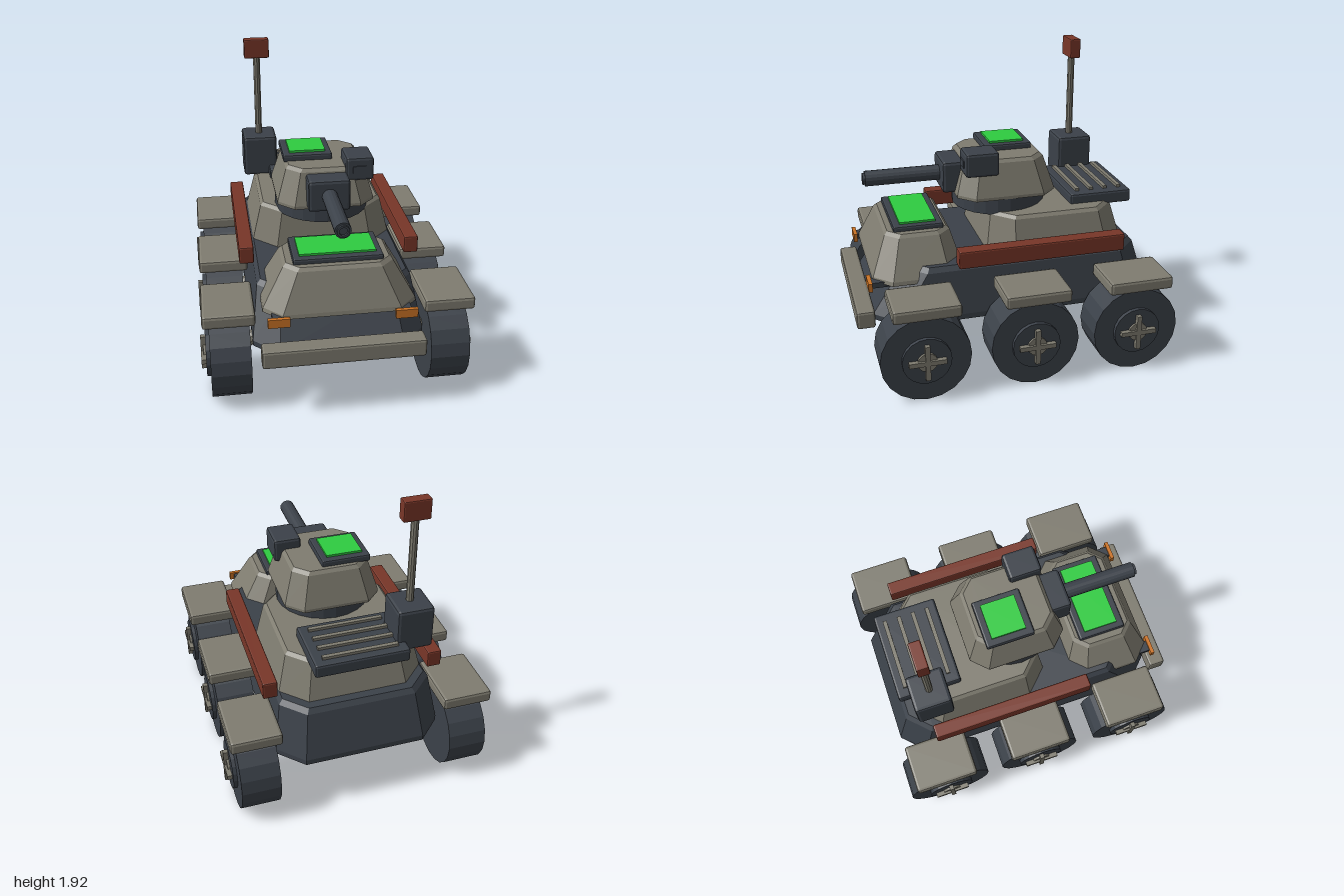
import * as THREE from 'three';
import { RoundedBoxGeometry } from 'three/addons/geometries/RoundedBoxGeometry.js';

const material = (name, color) => {
  const m = new THREE.MeshStandardMaterial({ color });
  m.name = name;
  return m;
};

// Faceted normals for a low-poly look
function flat(geometry) {
  const g = geometry.index ? geometry.toNonIndexed() : geometry;
  g.computeVertexNormals();
  return g;
}

// Corner-cut rectangle; each ring is [y, halfWidth, zBack, zFront, cut]
function ringPoints([y, w, z0, z1, c]) {
  return [[w, z0 + c], [w, z1 - c], [w - c, z1], [c - w, z1],
    [-w, z1 - c], [-w, z0 + c], [c - w, z0], [w - c, z0]].map(([x, z]) => [x, y, z]);
}

// Stack of corner-cut rings with closed ends
function armour(rings) {
  const pos = [];
  const tri = (...points) => points.forEach((p) => pos.push(...p));
  const loops = rings.map(ringPoints);
  const last = loops.length - 1;
  for (let k = 0; k < last; k++) {
    for (let i = 0; i < 8; i++) {
      const j = (i + 1) % 8, a = loops[k], b = loops[k + 1];
      tri(a[i], b[i], a[j]);
      tri(a[j], b[i], b[j]);
    }
  }
  for (let i = 1; i < 7; i++) {
    tri(loops[last][0], loops[last][i + 1], loops[last][i]);
    tri(loops[0][0], loops[0][i], loops[0][i + 1]);
  }
  const g = new THREE.BufferGeometry();
  g.setAttribute('position', new THREE.Float32BufferAttribute(pos, 3));
  g.computeVertexNormals();
  return g;
}

export function createModel() {
  const model = new THREE.Group();
  model.name = 'armouredVehicle';
  const tan = material('grey tan', 0x7f7c70);
  const dark = material('slate', 0x3b4149);
  const rust = material('rust red', 0x783628);
  const green = material('bright green', 0x2ecc40);
  const orange = material('orange', 0xcc7426);

  const add = (name, geometry, mat, x = 0, y = 0, z = 0, parent = model) => {
    const mesh = new THREE.Mesh(geometry, mat);
    mesh.name = name;
    mesh.position.set(x, y, z);
    parent.add(mesh);
    return mesh;
  };
  // Box from its extents, with an optional chamfer
  const box = (name, mat, [x0, x1], [y0, y1], [z0, z1], bevel = 0, parent = model) => {
    const size = [x1 - x0, y1 - y0, z1 - z0];
    const g = bevel ? new RoundedBoxGeometry(...size, 1, bevel) : new THREE.BoxGeometry(...size);
    return add(name, flat(g), mat, (x0 + x1) / 2, (y0 + y1) / 2, (z0 + z1) / 2, parent);
  };
  const cylinder = (r, length, sides) => flat(new THREE.CylinderGeometry(r, r, length, sides));

  // Hull and superstructure
  add('hull', armour([
    [0.365, 0.53, -0.95, 0.885, 0.15],
    [0.40, 0.53, -0.95, 0.885, 0.15],
    [0.685, 0.485, -0.865, 0.69, 0.14],
    [0.715, 0.46, -0.84, 0.665, 0.13]]), dark);
  add('nose', armour([
    [0.62, 0.47, 0.29, 0.875, 0.11],
    [0.645, 0.465, 0.295, 0.87, 0.11],
    [0.875, 0.335, 0.36, 0.775, 0.08],
    [0.895, 0.315, 0.38, 0.755, 0.075]]), tan);
  add('rearDeck', armour([
    [0.70, 0.465, -0.79, 0.13, 0.15],
    [0.95, 0.405, -0.72, 0.095, 0.13],
    [0.97, 0.385, -0.70, 0.075, 0.12]]), tan);

  // Hatches with lit panels
  box('frontHatch', dark, [-0.275, 0.275], [0.885, 0.927], [0.40, 0.72], 0.012);
  box('frontHatchPanel', green, [-0.235, 0.235], [0.926, 0.94], [0.445, 0.675]);
  box('turretHatch', dark, [-0.257, 0.062], [1.29, 1.338], [-0.24, 0.075], 0.012);
  box('turretHatchPanel', green, [-0.213, 0.02], [1.336, 1.352], [-0.195, 0.03]);

  // Turret
  add('turretRing', cylinder(0.307, 0.11, 24), dark, 0, 1.005, -0.028);
  add('turret', armour([
    [1.055, 0.31, -0.35, 0.292, 0.10],
    [1.075, 0.31, -0.35, 0.292, 0.10],
    [1.28, 0.25, -0.285, 0.235, 0.085],
    [1.30, 0.23, -0.265, 0.215, 0.08]]), tan);

  // Gun
  box('gunMantlet', dark, [-0.135, 0.132], [1.063, 1.27], [0.20, 0.37], 0.02);
  add('gunBarrel', cylinder(0.05, 0.50, 16), dark, 0, 1.167, 0.60).rotation.x = Math.PI / 2;
  const muzzle = [[0.025, -0.06], [0.038, -0.06], [0.038, 0.02], [0.025, 0.02], [0.025, -0.06]]
    .map(([r, y]) => new THREE.Vector2(r, y));
  add('muzzle', flat(new THREE.LatheGeometry(muzzle, 16)), dark, 0, 1.167, 0.845).rotation.x = Math.PI / 2;

  // Sight box
  box('sightBox', dark, [0.12, 0.30], [1.213, 1.367], [0.04, 0.255], 0.018);
  box('sightWindow', dark, [0.165, 0.25], [1.268, 1.313], [0.255, 0.263]);

  // Engine grille
  box('engineCover', dark, [-0.30, 0.295], [0.945, 1.032], [-0.86, -0.44], 0.015);
  for (let i = 0; i < 4; i++) {
    const z = -0.795 + i * 0.096;
    box('grilleSlat', tan, [-0.24, 0.235], [1.02, 1.05], [z - 0.013, z + 0.013]);
  }

  // Radio mast
  box('mastBase', dark, [-0.475, -0.24], [0.96, 1.245], [-0.78, -0.54], 0.02);
  add('mast', cylinder(0.024, 0.58, 10), tan, -0.358, 1.52, -0.655);
  box('mastBeacon', rust, [-0.443, -0.273], [1.795, 1.925], [-0.69, -0.618], 0.008);

  // Front bumper
  box('bumper', tan, [-0.495, 0.495], [0.365, 0.48], [0.885, 1.0], 0.015);

  const wheelZ = [0.63, -0.055, -0.72];
  const fenderZ = [0.62, -0.065, -0.73];
  for (const s of [1, -1]) {
    const span = (a, b) => (s > 0 ? [a, b] : [-b, -a]);
    box('sideRail', rust, span(0.485, 0.578), [0.735, 0.848], [-0.708, 0.37], 0.01);
    box('headlight', orange, span(0.317, 0.45), [0.59, 0.646], [0.887, 0.912]);
    box('headlightMount', dark, span(0.35, 0.42), [0.60, 0.635], [0.74, 0.887]);

    wheelZ.forEach((z, i) => {
      // Mudguard
      box('fender', tan, span(0.515, 0.835), [0.557, 0.64], [fenderZ[i] - 0.208, fenderZ[i] + 0.208], 0.018);

      // Wheel with hub, cap and cross spokes
      const wheel = new THREE.Group();
      wheel.name = 'wheel';
      wheel.position.set(0, 0.28, z);
      model.add(wheel);
      const disc = (name, r, x0, x1, sides, mat) => {
        add(name, cylinder(r, x1 - x0, sides), mat, s * (x0 + x1) / 2, 0, 0, wheel).rotation.z = Math.PI / 2;
      };
      disc('tyre', 0.28, 0.55, 0.795, 20, dark);
      disc('hub', 0.152, 0.78, 0.82, 20, dark);
      disc('hubCap', 0.062, 0.81, 0.835, 12, tan);
      box('spoke', tan, span(0.81, 0.85), [-0.115, 0.115], [-0.015, 0.015], 0, wheel);
      box('spoke', tan, span(0.81, 0.85), [-0.015, 0.015], [-0.115, 0.115], 0, wheel);

      // Slanted suspension arm
      const path = new THREE.LineCurve3(
        new THREE.Vector3(s * 0.42, 0.435, z), new THREE.Vector3(s * 0.60, 0.31, z));
      add('suspensionArm', flat(new THREE.TubeGeometry(path, 1, 0.042, 10)), tan);
    });
  }
  return model;
}
